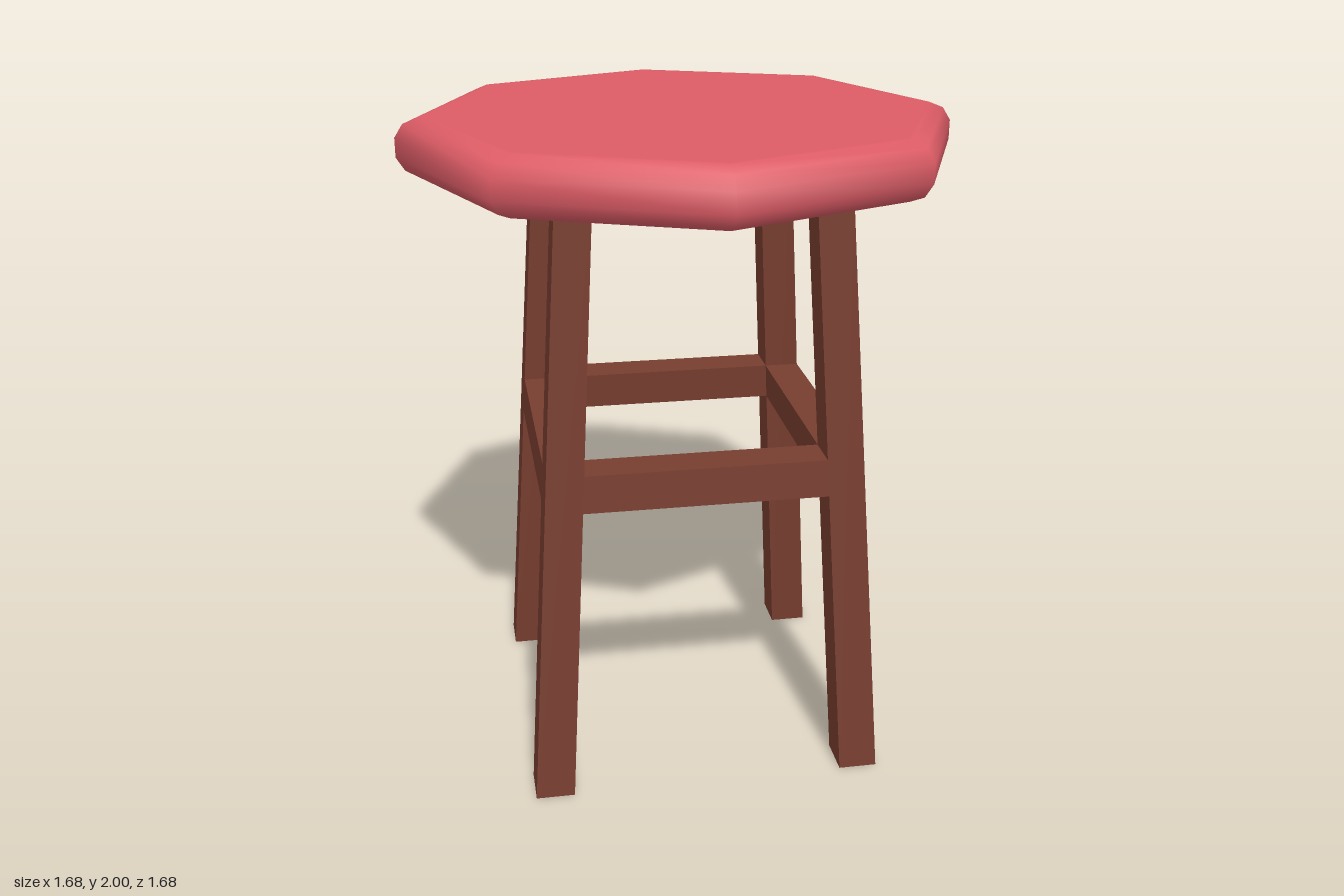
import * as THREE from 'three';

const cushion = new THREE.MeshStandardMaterial({ color: 0xdd5c66 });
cushion.name = 'red cushion';
const wood = new THREE.MeshStandardMaterial({ color: 0x773d2f });
wood.name = 'brown wood';

// Splayed, tapering leg faces as functions of height
const LEG_TOP = 1.84;
const at = (bottom, top) => (y) => bottom + (top - bottom) * y / LEG_TOP;
const innerX = at(0.422, 0.315), outerX = at(0.54, 0.42);
const innerZ = at(0.417, 0.312), outerZ = at(0.543, 0.43);

// Box between heights y0 and y1 whose side limits follow [x0, x1, z0, z1](y)
function slopedBox(name, y0, y1, limits) {
  const geo = new THREE.BoxGeometry(1, 1, 1);
  const p = geo.attributes.position;
  for (let i = 0; i < p.count; i++) {
    const y = p.getY(i) > 0 ? y1 : y0;
    const [x0, x1, z0, z1] = limits(y);
    p.setXYZ(i, p.getX(i) > 0 ? x1 : x0, y, p.getZ(i) > 0 ? z1 : z0);
  }
  geo.computeVertexNormals();
  const mesh = new THREE.Mesh(geo, wood);
  mesh.name = name;
  return mesh;
}

// Lower and upper limit of a span, mirrored when sign is -1
const span = (a, b, sign) => (sign > 0 ? [a, b] : [-b, -a]);

export function createModel() {
  const stool = new THREE.Group();
  stool.name = 'stool';

  // Padded octagonal seat with rounded rim
  const profile = [
    [0, 1.828], [0.755, 1.828], [0.77, 1.828], [0.815, 1.846], [0.84, 1.885],
    [0.84, 1.943], [0.815, 1.982], [0.77, 2], [0.755, 2], [0, 2],
  ].map(([r, y]) => new THREE.Vector2(r, y));
  const seat = new THREE.Mesh(new THREE.LatheGeometry(profile, 8), cushion);
  seat.name = 'seat';
  stool.add(seat);

  // Four legs
  for (const sx of [1, -1]) {
    for (const sz of [1, -1]) {
      const name = (sz > 0 ? 'front' : 'back') + (sx > 0 ? 'Left' : 'Right') + 'Leg';
      stool.add(slopedBox(name, 0, LEG_TOP, (y) => [
        ...span(innerX(y), outerX(y), sx),
        ...span(innerZ(y), outerZ(y), sz),
      ]));
    }
  }

  // Four rungs, flush with the legs
  for (const s of [1, -1]) {
    stool.add(slopedBox(s > 0 ? 'frontRung' : 'backRung', 0.928, 1.043, (y) => [
      -innerX(y), innerX(y), ...span(innerZ(y), outerZ(y), s),
    ]));
    stool.add(slopedBox(s > 0 ? 'leftRung' : 'rightRung', 0.928, 1.043, (y) => [
      ...span(innerX(y), outerX(y), s), -innerZ(y), innerZ(y),
    ]));
  }
  return stool;
}
